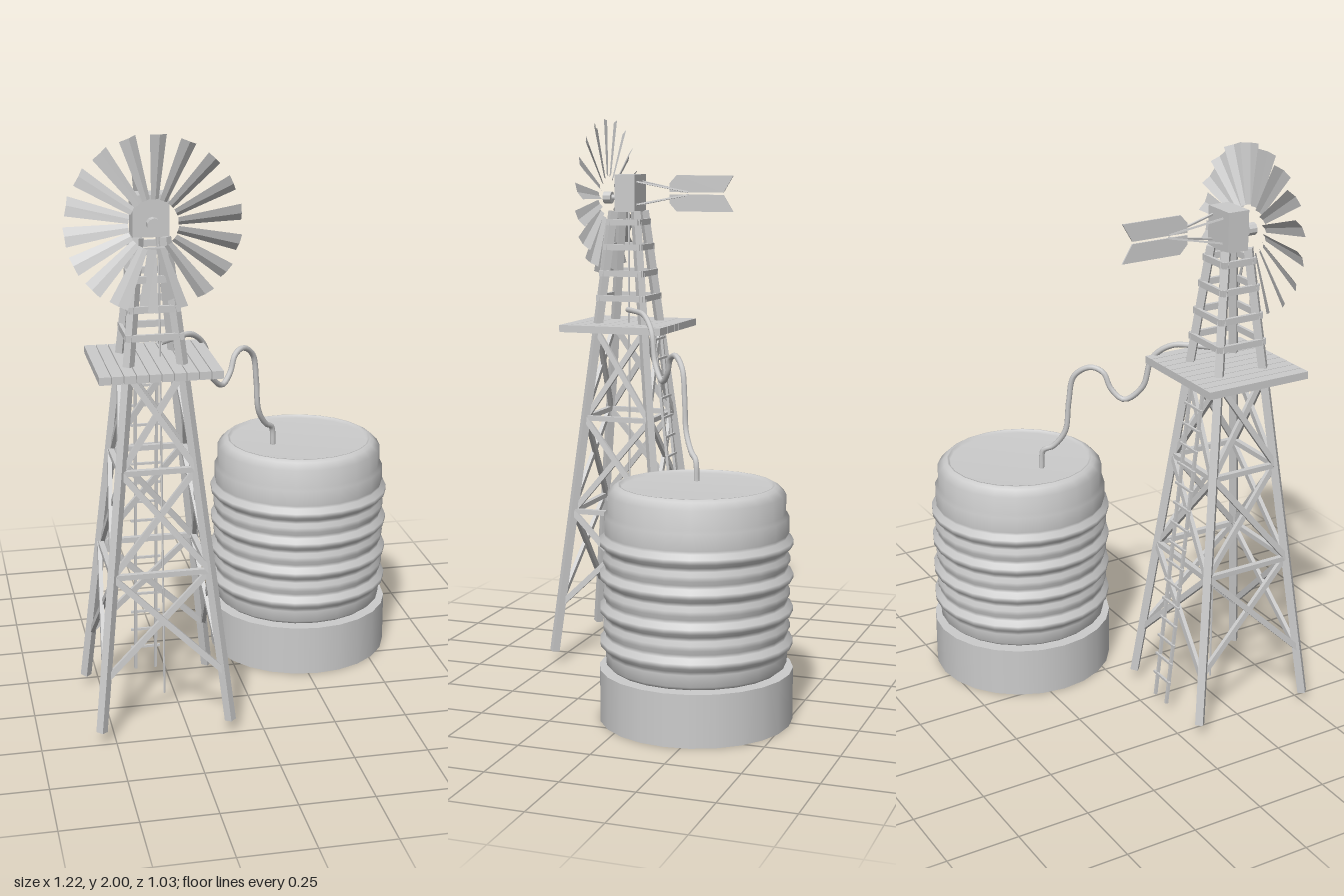
import * as THREE from 'three';

const mat = new THREE.MeshStandardMaterial({ color: 0xcccccc, flatShading: true });
const thin = new THREE.MeshStandardMaterial({ color: 0xcccccc, flatShading: true, side: THREE.DoubleSide });
const smooth = new THREE.MeshStandardMaterial({ color: 0xcccccc, side: THREE.DoubleSide });
const V = (x, y, z) => new THREE.Vector3(x, y, z);
const UP = V(0, 1, 0);

function add(parent, name, geo, x = 0, y = 0, z = 0, material = mat) {
  const m = new THREE.Mesh(geo, material);
  m.name = name;
  m.position.set(x, y, z);
  parent.add(m);
  return m;
}

// Square bar between two points, optionally turned about its own axis
function bar(parent, name, a, b, w, d = w, turn = 0) {
  const dir = b.clone().sub(a);
  const geo = new THREE.BoxGeometry(w, dir.length(), d).rotateY(turn);
  const m = add(parent, name, geo);
  m.position.copy(a).add(b).multiplyScalar(0.5);
  m.quaternion.setFromUnitVectors(UP, dir.normalize());
  return m;
}

function group(parent, name, x = 0, y = 0, z = 0) {
  const g = new THREE.Group();
  g.name = name;
  g.position.set(x, y, z);
  parent.add(g);
  return g;
}

// Half-width of the tapering tower at height y
const half = (y) => 0.218 - (y - 0.04) * 0.107;

function buildTower(root) {
  const tower = group(root, 'tower', -0.331, 0, 0.277);
  for (let k = 0; k < 4; k++) {
    const side = group(tower, 'towerSide');
    side.rotation.y = k * Math.PI / 2;
    const P = (s, y, out = 0) => V(s * half(y), y, half(y) + out);
    bar(side, 'leg', P(1, 0.045), P(1, 1.67), 0.027, 0.027, Math.PI / 4);
    for (const y of [0.57, 0.915]) bar(side, 'crossRail', P(-1, y), P(1, y), 0.018);
    for (const y of [1.355, 1.445, 1.54, 1.63]) {
      const w = half(y) + 0.012;
      add(side, 'upperRail', new THREE.BoxGeometry(w * 2, 0.022, 0.012), 0, y, w);
    }
    for (const [y0, y1] of [[0.22, 0.57], [0.57, 0.915], [0.915, 1.235]]) {
      for (const s of [-1, 1]) bar(side, 'diagonalBrace', P(s, y0, s * 0.004), P(-s, y1, s * 0.004), 0.02, 0.014);
    }
  }
  // Plank platform
  const platform = group(tower, 'platform', 0.003, 1.25, 0);
  for (let i = 0; i < 10; i++) {
    add(platform, 'plank', new THREE.BoxGeometry(0.037, 0.026, 0.388), (i - 4.5) * 0.04, 0, 0);
  }
  // Ladder leaning on the back
  const ladder = group(tower, 'ladder');
  const ladderZ = (y) => -0.24 + (y - 0.04) * 0.107;
  for (const s of [-1, 1]) {
    bar(ladder, 'ladderRail', V(s * 0.036, 0.04, ladderZ(0.04)), V(s * 0.036, 1.235, ladderZ(1.235)), 0.01);
  }
  for (let y = 0.125; y < 1.22; y += 0.072) {
    add(ladder, 'rung', new THREE.BoxGeometry(0.104, 0.008, 0.008), 0, y, ladderZ(y) - 0.005);
  }
  // Pump rod down the middle
  add(tower, 'pumpRod', new THREE.CylinderGeometry(0.004, 0.004, 1.62, 6), 0.031, 0.86, -0.012);
}

function buildHead(root) {
  const head = group(root, 'windmillHead', -0.33, 1.735, 0.27);
  add(head, 'gearbox', new THREE.BoxGeometry(0.118, 0.135, 0.078));
  add(head, 'shaft', new THREE.CylinderGeometry(0.01, 0.01, 0.08, 8).rotateX(Math.PI / 2), 0, -0.017, 0.06);

  // Wheel of pitched, tapering blades
  const wheel = group(head, 'windWheel', 0, -0.017, 0.086);
  add(wheel, 'hub', new THREE.CylinderGeometry(0.022, 0.022, 0.03, 10).rotateX(Math.PI / 2));
  const blade = new THREE.PlaneGeometry(1, 0.202, 2, 1);
  const p = blade.attributes.position;
  for (let i = 0; i < p.count; i++) {
    const u = p.getX(i), outer = p.getY(i) > 0;
    p.setXYZ(i, u * (outer ? 0.066 : 0.03), p.getY(i) + 0.181, (0.25 - u * u) * (outer ? 0.03 : 0.014));
  }
  blade.computeVertexNormals();
  const count = 18;
  for (let i = 0; i < count; i++) {
    const arm = group(wheel, 'bladeArm');
    arm.rotation.z = -(i + 0.2) / count * Math.PI * 2;
    add(arm, 'blade', blade, 0, 0, 0, thin).rotation.y = 0.5;
  }

  // Split tail vane with swallow-tail end, drawn in length and height
  const tail = group(head, 'tail');
  for (const s of [-1, 1]) {
    const shape = new THREE.Shape([
      [0.155, 0.004], [0.155, 0.036], [0.182, 0.065], [0.397, 0.065], [0.36, 0.004],
    ].map(([l, h]) => new THREE.Vector2(l, h * s)));
    const geo = new THREE.ExtrudeGeometry(shape, { depth: 0.005, bevelEnabled: false });
    geo.translate(0, 0, -0.0025).rotateY(Math.PI / 2);
    add(tail, 'vane', geo, 0.006, 0, 0);
    for (const x of [-0.025, 0.037]) {
      bar(tail, 'tailStrut', V(x, s * 0.042, -0.035), V(0.006, s * 0.005, -0.225), 0.006);
    }
  }
}

function buildTank(root) {
  const tank = group(root, 'waterTank', 0.2825, 0, -0.195);
  // Open-bottomed plinth with a flat top
  add(tank, 'base', new THREE.CylinderGeometry(0.325, 0.325, 0.178, 24, 1, true), 0, 0.089, 0, smooth);
  add(tank, 'baseTop', new THREE.CircleGeometry(0.325, 24).rotateX(-Math.PI / 2), 0, 0.178, 0, smooth);

  // Ribbed barrel: alternating strong and weak rounded ribs
  const pts = [[0, 0.182], [0.288, 0.182], [0.303, 0.195], [0.306, 0.235]];
  for (let i = 0; i < 7; i++) {
    const y = 0.268 + i * 0.0565;
    const r = i % 2 ? 0.313 : 0.323;
    pts.push([0.305, y - 0.022], [r, y - 0.008], [r, y + 0.008], [0.305, y + 0.022]);
  }
  pts.push([0.308, 0.64], [0.308, 0.695], [0.297, 0.705], [0.297, 0.768], [0.275, 0.79],
    [0.262, 0.797], [0.256, 0.797], [0.25, 0.786], [0, 0.786]);
  const profile = pts.map(([r, y]) => new THREE.Vector2(r, y));
  add(tank, 'barrel', new THREE.LatheGeometry(profile, 24), 0, 0, 0, smooth);
}

function buildHose(root) {
  // Hose hangs in one slanting vertical plane from tower to tank lid
  const path = [
    [-0.3, 1.31], [-0.24, 1.31], [-0.175, 1.302], [-0.125, 1.25], [-0.1, 1.14], [-0.05, 1.085],
    [-0.015, 1.12], [0.005, 1.175], [0.04, 1.19], [0.085, 1.15], [0.1, 1.05], [0.11, 0.94],
    [0.145, 0.875], [0.172, 0.855], [0.178, 0.78],
  ].map(([x, y]) => V(x, y, -0.9 * x));
  add(root, 'hose', new THREE.TubeGeometry(new THREE.CatmullRomCurve3(path), 70, 0.01, 8), 0, 0, 0, smooth);
}

export function createModel() {
  const root = new THREE.Group();
  root.name = 'windPumpAndTank';
  buildTower(root);
  buildHead(root);
  buildTank(root);
  buildHose(root);
  return root;
}
